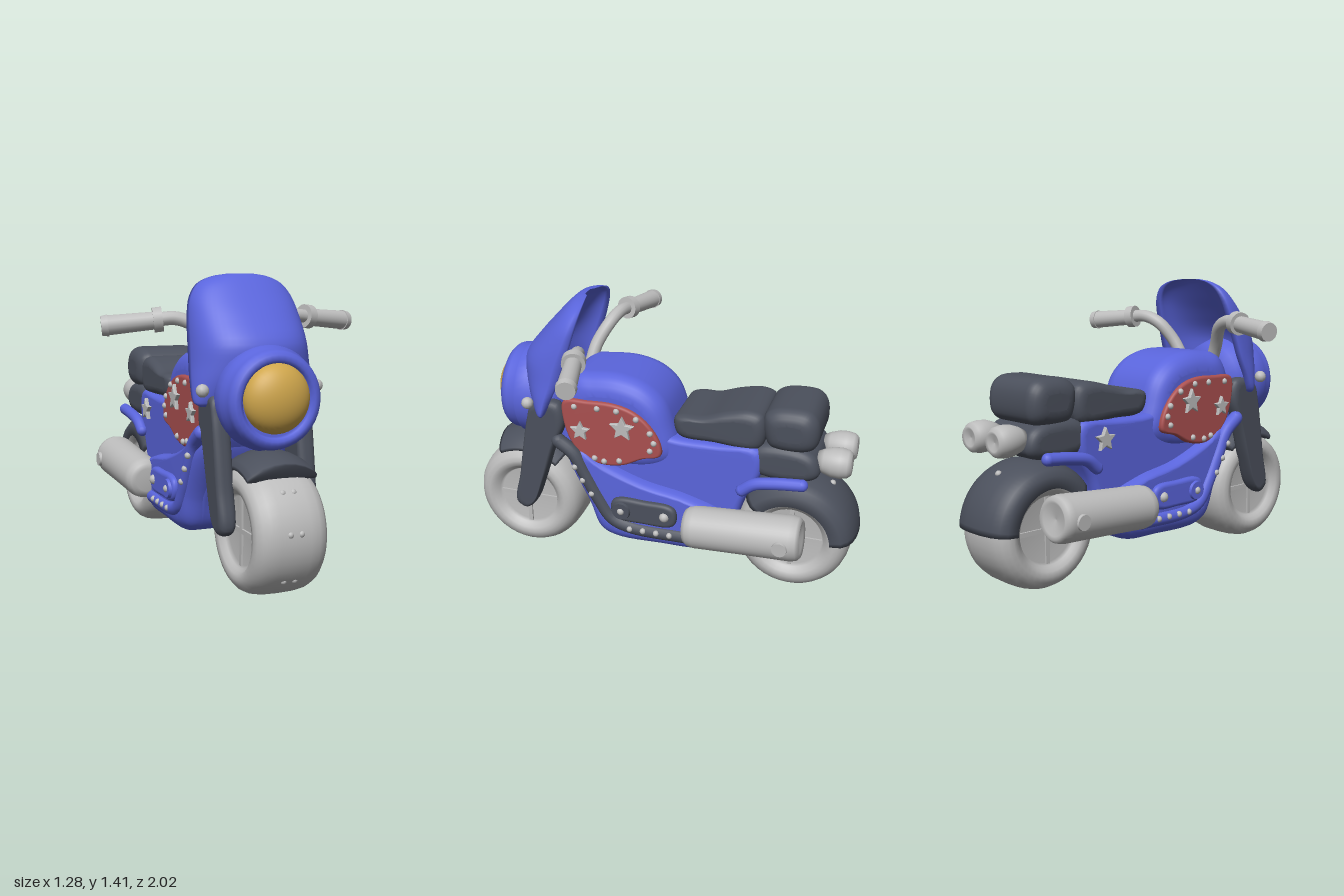
import * as THREE from 'three';

const mat = (name, color) => Object.assign(new THREE.MeshStandardMaterial({ color }), { name });

export function createModel() {
  const blue = mat('blue paint', 0x5a65dc), grey = mat('light grey', 0xbcbcbc), dark = mat('dark slate', 0x4b505c);
  const red = mat('red panel', 0xaa5050), amber = mat('amber lens', 0xcfa64c);
  const model = new THREE.Group();
  model.name = 'motorbike';
  const V = (a) => new THREE.Vector3(...a);

  const add = (name, geo, material, pos = [0, 0, 0]) => {
    const mesh = new THREE.Mesh(geo, material);
    mesh.name = name;
    mesh.position.set(...pos);
    model.add(mesh);
    return mesh;
  };
  const bothSides = (fn) => [1, -1].forEach(fn);

  // Skin a stack of closed rings
  const skin = (rings, flip, caps = []) => {
    const n = rings[0].length, index = [];
    for (let j = 0; j < rings.length - 1; j++) for (let i = 0; i < n; i++) {
      const k = (i + 1) % n, a = j * n + i, b = j * n + k, c = b + n, d = a + n;
      index.push(...(flip ? [a, c, b, a, d, c] : [a, b, c, a, c, d]));
    }
    const last = (rings.length - 1) * n;
    caps.forEach(([a, b, c]) => index.push(a, b, c, last + c, last + b, last + a));
    const g = new THREE.BufferGeometry();
    g.setAttribute('position', new THREE.Float32BufferAttribute(rings.flat(2), 3));
    g.setIndex(index);
    g.computeVertexNormals();
    return g;
  };

  // Soft slab: a (z, y) side outline given thickness along x, with rounded edges
  const slab = (name, outline, material, x, half, round) => {
    const curve = new THREE.CatmullRomCurve3(outline.map(([z, y]) => new THREE.Vector3(z, y, 0)), true, 'centripetal');
    const pts = curve.getPoints(outline.length * 6).slice(0, -1).map((p) => new THREE.Vector2(p.x, p.y));
    if (THREE.ShapeUtils.isClockWise(pts)) pts.reverse();
    const box = new THREE.Box2().setFromPoints(pts);
    const c = box.getCenter(new THREE.Vector2()), s = box.getSize(new THREE.Vector2()).multiplyScalar(0.5);
    const rings = [];
    for (const side of [-1, 1]) for (let k = 0; k <= 6; k++) {
      const f = (side < 0 ? k - 6 : k) / 6 * Math.PI / 2, inset = 1 - Math.cos(f);
      const kz = 1 - Math.min(round / s.x, 0.8) * inset, ky = 1 - Math.min(round / s.y, 0.8) * inset;
      rings.push(pts.map((p) => [x + side * (half - round) + round * Math.sin(f), c.y + (p.y - c.y) * ky, c.x + (p.x - c.x) * kz]));
    }
    return add(name, skin(rings, true, THREE.ShapeUtils.triangulateShape(pts, [])), material);
  };

  // Mudguard: a (radius, x) section, listed from the middle outwards, swept round a wheel centre
  const mudguard = (name, section, [cy, cz], from, to) => {
    const ring = [...section.slice(1).reverse().map(([r, x]) => [r, -x]), ...section];
    const rings = Array.from({ length: 29 }, (_, j) => {
      const a = (from + (to - from) * j / 28) * Math.PI / 180;
      return ring.map(([r, x]) => [x, cy + r * Math.sin(a), cz + r * Math.cos(a)]);
    });
    const caps = ring.slice(2).map((_, i) => [0, i + 2, i + 1]);
    add(name, skin(rings, false, caps), dark);
  };

  // Turned part from (radius, length) points; axis picks where its length runs
  const turned = (name, profile, material, pos, axis) => {
    const g = new THREE.LatheGeometry(profile.map((p) => new THREE.Vector2(...p)), 40);
    if (axis === 'front') g.rotateX(Math.PI / 2);
    if (axis === 'back') g.rotateX(-Math.PI / 2);
    if (axis === 'side') g.rotateZ(-Math.PI / 2);
    return add(name, g, material, pos);
  };
  const rod = (name, a, b, ra, rb, material) => {
    const A = V(a), B = V(b), d = B.clone().sub(A);
    const m = add(name, new THREE.CylinderGeometry(rb, ra, d.length(), 24), material);
    m.position.copy(A).add(B).multiplyScalar(0.5);
    m.quaternion.setFromUnitVectors(new THREE.Vector3(0, 1, 0), d.normalize());
    return m;
  };
  const pipe = (name, pts, r, material) => {
    add(name, new THREE.TubeGeometry(new THREE.CatmullRomCurve3(pts.map(V)), 40, r, 14), material);
    [pts[0], pts[pts.length - 1]].forEach((p) => add(name + 'End', new THREE.SphereGeometry(r, 14, 10), material, p));
  };
  const rivet = (x, y, z, r = 0.016) => add('rivet', new THREE.SphereGeometry(r, 12, 8), grey, [x, y, z]);
  const star = (x, y, z, r) => {
    const shape = new THREE.Shape(Array.from({ length: 10 }, (_, i) => {
      const a = Math.PI / 2 + i * Math.PI / 5, q = i % 2 ? r * 0.45 : r;
      return new THREE.Vector2(q * Math.cos(a), q * Math.sin(a));
    }));
    const g = new THREE.ExtrudeGeometry(shape, { depth: 0.02, bevelSize: 0.004, bevelThickness: 0.006, bevelSegments: 2 });
    g.translate(0, 0, -0.01).rotateY(Math.PI / 2);
    add('star', g, grey, [x, y, z]);
  };

  // Wheels: fat tyre round a shallow disc with four thin ribs
  const half = [[0.29, 0], [0.288, 0.07], [0.28, 0.115], [0.264, 0.146], [0.24, 0.166], [0.215, 0.172], [0.19, 0.168], [0.178, 0.15], [0.165, 0.146], [0.155, 0.128], [0, 0.128]];
  const tyre = [...half.slice(1).reverse().map(([r, x]) => [r, -x]), ...half];
  for (const [name, z, y] of [['frontWheel', 0.71, 0.29], ['rearWheel', -0.7, 0.3]]) {
    turned(name, tyre, grey, [0, y, z], 'side');
    add(name + 'RibUpright', new THREE.BoxGeometry(0.275, 0.32, 0.022), grey, [0, y, z]);
    add(name + 'RibLevel', new THREE.BoxGeometry(0.275, 0.022, 0.32), grey, [0, y, z]);
  }
  for (const a of [-40, 8, 46]) for (const x of [-0.03, 0.022]) {
    const t = a * Math.PI / 180;
    rivet(x, 0.29 + 0.28 * Math.sin(t), 0.71 + 0.28 * Math.cos(t));
  }

  // Body, belly cowl and tank
  slab('body', [[0.5, 0.72], [0.47, 0.87], [0.2, 0.87], [-0.08, 0.78], [-0.3, 0.775], [-0.53, 0.775], [-0.545, 0.66], [-0.47, 0.5], [-0.42, 0.35],
    [-0.36, 0.24], [-0.28, 0.185], [-0.05, 0.17], [0.2, 0.17], [0.28, 0.21], [0.34, 0.35], [0.42, 0.55]], blue, 0, 0.19, 0.04);
  slab('bellyCowl', [[0.46, 0.66], [0.4, 0.69], [0.28, 0.62], [0.05, 0.53], [-0.2, 0.48], [-0.38, 0.4], [-0.36, 0.25], [-0.28, 0.185],
    [-0.05, 0.168], [0.2, 0.17], [0.28, 0.21], [0.34, 0.36]], blue, 0, 0.245, 0.08);
  slab('tank', [[0.48, 0.95], [0.42, 1.035], [0.32, 1.055], [0.18, 1.06], [0.05, 1.025], [-0.04, 0.95], [-0.09, 0.83], [-0.12, 0.66],
    [0.0, 0.58], [0.3, 0.58], [0.46, 0.66]], blue, 0, 0.21, 0.1);

  // Seats and tail
  slab('riderSeat', [[-0.1, 0.88], [-0.12, 0.79], [-0.3, 0.775], [-0.53, 0.78], [-0.54, 0.94], [-0.48, 0.965], [-0.36, 0.945], [-0.24, 0.905], [-0.14, 0.9]], dark, 0, 0.185, 0.05);
  slab('pillionSeat', [[-0.54, 0.95], [-0.55, 0.83], [-0.58, 0.79], [-0.76, 0.79], [-0.8, 0.83], [-0.8, 0.94], [-0.76, 0.99], [-0.66, 1.0], [-0.58, 0.985]], dark, 0, 0.19, 0.07);
  slab('tailBlock', [[-0.5, 0.78], [-0.5, 0.65], [-0.78, 0.64], [-0.82, 0.68], [-0.8, 0.76], [-0.72, 0.8]], dark, 0, 0.18, 0.05);
  bothSides((s) => turned('tailLamp', [[0, 0], [0.045, 0], [0.06, 0.03], [0.073, 0.07], [0.075, 0.11], [0.068, 0.145], [0.052, 0.163], [0.04, 0.158], [0, 0.148]],
    grey, [s * 0.09, 0.73, -0.8], 'back'));

  // Mudguards
  mudguard('rearMudguard', [[0.318, 0], [0.315, 0.06], [0.304, 0.115], [0.284, 0.155], [0.255, 0.18], [0.2, 0.185], [0.195, 0.15]], [0.3, -0.7], 38, 177);
  rivet(0, 0.565, -0.868);
  mudguard('frontMudguard', [[0.363, 0], [0.358, 0.05], [0.342, 0.1], [0.318, 0.145], [0.298, 0.167], [0.28, 0.165]], [0.285, 0.71], 62, 128);

  // Headlamp nacelle and lens
  turned('headlampNacelle', [[0, -0.14], [0.15, -0.14], [0.2, -0.08], [0.225, 0], [0.236, 0.05], [0.236, 0.1], [0.224, 0.11], [0.222, 0.15],
    [0.215, 0.17], [0.2, 0.187], [0.18, 0.19], [0.165, 0.18], [0.16, 0.16], [0, 0.16]], blue, [0, 0.873, 0.61], 'front');
  const lens = add('headlampLens', new THREE.SphereGeometry(0.157, 36, 16, 0, Math.PI * 2, 0, Math.PI / 2), amber, [0, 0.882, 0.775]);
  lens.geometry.rotateX(Math.PI / 2);
  lens.scale.z = 0.62;

  // Windscreen fairing: rows of [y, half width, front z, rear z], curved round the front with an inner face
  const rows = [[0.832, 0.27, 0.59, 0.555], [0.85, 0.292, 0.62, 0.535], [0.93, 0.295, 0.665, 0.5], [1.02, 0.287, 0.69, 0.46], [1.11, 0.28, 0.69, 0.43],
    [1.22, 0.27, 0.61, 0.395], [1.31, 0.25, 0.53, 0.37], [1.37, 0.208, 0.475, 0.358], [1.402, 0.14, 0.44, 0.36], [1.415, 0.06, 0.415, 0.372]];
  const widths = new THREE.CatmullRomCurve3(rows.map(([y, w, f]) => V([w, y, f])), false, 'centripetal').getPoints(36);
  const rears = new THREE.CatmullRomCurve3(rows.map(([y, w, , r]) => V([w, y, r])), false, 'centripetal').getPoints(36);
  const bow = (y, w, f, r, dir) => Array.from({ length: 29 }, (_, i) => {
    const a = dir * (i / 28 - 0.5) * Math.PI, sn = Math.sin(a);
    return [w * Math.sign(sn) * Math.abs(sn) ** 0.85, y, r + (f - r) * Math.abs(Math.cos(a)) ** 0.85];
  });
  const rings = widths.map(({ x: w, y, z: f }, i) => {
    const r = rears[i].z;
    return [...bow(y, w, f, r, 1), ...bow(y, w * 0.87, r + (f - r) * 0.66, r, -1)];
  });
  rings.push(rings[rings.length - 1].map(([x, y]) => [x * 0.6, y, 0.39]));
  rings.unshift(rings[0].map(([x, y, z]) => [THREE.MathUtils.clamp(x, -0.25, 0.25), y, Math.min(z, 0.565)]));
  add('fairing', skin(rings, false), blue);

  bothSides((s) => {
    rivet(s * 0.28, 0.91, 0.615, 0.03).name = 'fairingBolt';
    // Fork leg
    slab('forkLeg', [[0.62, 0.88], [0.48, 0.9], [0.45, 0.8], [0.51, 0.65], [0.57, 0.47], [0.64, 0.3], [0.69, 0.268], [0.74, 0.3],
      [0.71, 0.47], [0.68, 0.65], [0.65, 0.8]], dark, s * 0.204, 0.042, 0.035);
    // Handlebar and grip
    pipe('handlebar', [[s * 0.1, 0.98, 0.43], [s * 0.15, 1.08, 0.41], [s * 0.22, 1.18, 0.36], [s * 0.3, 1.213, 0.335], [s * 0.4, 1.205, 0.315]], 0.032, grey);
    rod('gripCollar', [s * 0.36, 1.21, 0.322], [s * 0.4, 1.205, 0.31], 0.057, 0.057, grey);
    rod('grip', [s * 0.4, 1.203, 0.312], [s * 0.615, 1.182, 0.258], 0.041, 0.046, grey);
    rod('gripEnd', [s * 0.6, 1.183, 0.262], [s * 0.63, 1.18, 0.254], 0.05, 0.045, grey);
    // Red tank panel with rivets and stars
    slab('tankPanel', [[0.45, 0.92], [0.32, 0.935], [0.18, 0.935], [0.08, 0.905], [0.0, 0.84], [-0.05, 0.75], [-0.05, 0.69], [0.04, 0.66],
      [0.14, 0.61], [0.24, 0.595], [0.33, 0.615], [0.41, 0.69], [0.455, 0.82]], red, s * 0.17, 0.06, 0.015);
    [[0.39, 0.9], [0.27, 0.905], [0.17, 0.905], [0.07, 0.875], [0, 0.81], [-0.02, 0.76], [0, 0.715], [0.16, 0.635], [0.24, 0.62], [0.29, 0.63]]
      .forEach(([z, y]) => rivet(s * 0.228, y, z));
    star(s * 0.232, 0.82, 0.14, 0.06);
    star(s * 0.232, 0.775, 0.36, 0.047);
    // Frame tube and engine pod, painted blue on the right side
    const trim = s > 0 ? dark : blue;
    pipe('frameTube', [[0.48, 0.7], [0.4, 0.64], [0.34, 0.53], [0.27, 0.4], [0.2, 0.3], [0.1, 0.265], [-0.2, 0.262]].map(([z, y]) => [s * 0.232, y, z]), 0.036, trim);
    [[0.385, 0.58], [0.345, 0.51], [0.3, 0.44], [0.1, 0.268], [0.03, 0.268], [-0.04, 0.268], [-0.11, 0.268]].forEach(([z, y]) => rivet(s * 0.262, y, z));
    slab('enginePod', [[0.19, 0.42], [0.2, 0.37], [0.17, 0.32], [0.02, 0.31], [-0.11, 0.315], [-0.14, 0.34], [-0.14, 0.41], [-0.11, 0.435], [0.02, 0.44], [0.15, 0.44]],
      trim, s * 0.23, 0.042, 0.02);
    rod('engineCover', [s * 0.25, 0.375, 0.14], [s * 0.285, 0.375, 0.14], 0.055, 0.045, trim);
    rivet(s * 0.278, 0.375, 0.14, 0.02);
    rivet(s * 0.266, 0.375, -0.085, 0.026);
    // Exhaust can with side bolt
    const can = turned('exhaust', [[0, 0], [0.06, 0], [0.085, 0.008], [0.1, 0.028], [0.106, 0.06], [0.108, 0.3], [0.112, 0.54], [0.106, 0.572], [0.09, 0.588], [0.075, 0.58], [0, 0.565]],
      grey, [s * 0.268, 0.35, -0.19], 'back');
    can.rotation.x = 0.06;
    rod('exhaustBolt', [s * 0.34, 0.38, -0.69], [s * 0.39, 0.38, -0.69], 0.042, 0.036, grey);
    // Side rail below the tail
    pipe('tailRail', [[s * 0.205, 0.565, -0.46], [s * 0.208, 0.61, -0.52], [s * 0.21, 0.632, -0.62], [s * 0.21, 0.645, -0.75]], 0.03, blue);
  });
  star(-0.194, 0.69, -0.4, 0.055);

  return model;
}
